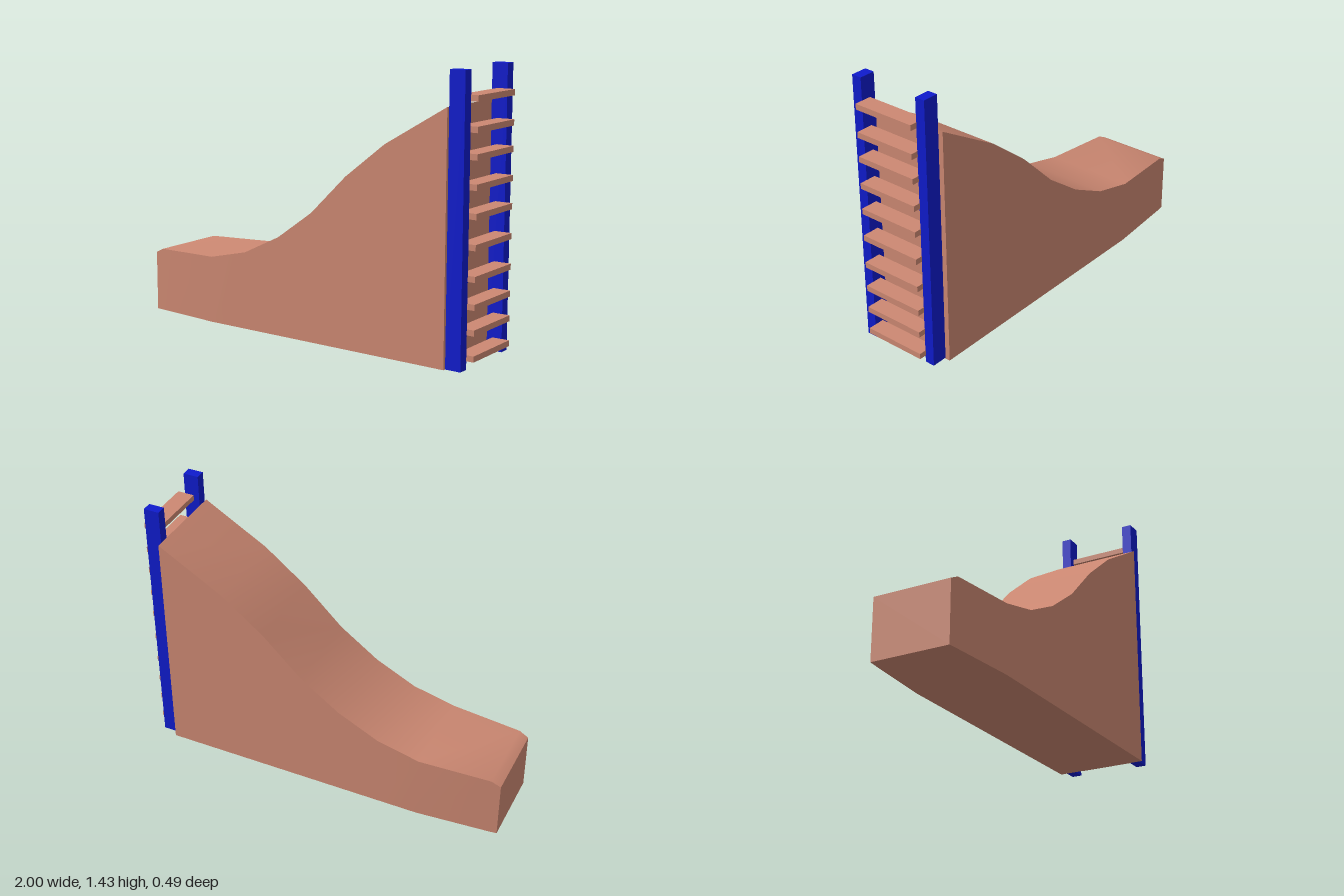
import * as THREE from 'three';
import { toCreasedNormals } from 'three/addons/utils/BufferGeometryUtils.js';

const clay = new THREE.MeshStandardMaterial({ color: 0xcc8872 });
const blue = new THREE.MeshStandardMaterial({ color: 0x0f1bcc });

function box(name, material, [x0, x1], [y0, y1], [z0, z1]) {
  const mesh = new THREE.Mesh(new THREE.BoxGeometry(x1 - x0, y1 - y0, z1 - z0), material);
  mesh.position.set((x0 + x1) / 2, (y0 + y1) / 2, (z0 + z1) / 2);
  mesh.name = name;
  return mesh;
}

// Solid slide body: rectangular sections along x, each [x, top height, half width]
function slideGeometry() {
  const stations = [
    [-1, 0.32, 0.208], [-0.95, 0.345, 0.213], [-0.57, 0.357, 0.244],
    [-0.34, 0.412, 0.244], [-0.12, 0.52, 0.244], [0.09, 0.67, 0.244],
    [0.3, 0.875, 0.244], [0.53, 1.055, 0.244], [0.876, 1.257, 0.244],
  ];
  const positions = [], index = [];
  for (const [x, y, w] of stations) {
    positions.push(x, 0, w, x, y, w, x, y, -w, x, 0, -w);
  }
  const quad = (a, b, c, d) => index.push(a, b, c, a, c, d);
  const last = (stations.length - 1) * 4;
  for (let s = 0; s < last; s += 4) {
    for (let k = 0; k < 4; k++) {
      const n = (k + 1) % 4;
      quad(s + k, s + 4 + k, s + 4 + n, s + n);
    }
  }
  quad(0, 1, 2, 3); // low end
  quad(last + 3, last + 2, last + 1, last); // ladder end
  const geometry = new THREE.BufferGeometry();
  geometry.setAttribute('position', new THREE.Float32BufferAttribute(positions, 3));
  geometry.setIndex(index);
  return toCreasedNormals(geometry, Math.PI / 7);
}

export function createModel() {
  const model = new THREE.Group();
  model.name = 'playgroundSlide';

  const slide = new THREE.Mesh(slideGeometry(), clay);
  slide.name = 'slideBody';
  model.add(slide);

  // Ladder: two posts and ten flat rungs
  const ladder = new THREE.Group();
  ladder.name = 'ladder';
  ladder.add(box('leftPost', blue, [0.876, 0.96], [0.005, 1.435], [-0.217, -0.164]));
  ladder.add(box('rightPost', blue, [0.876, 0.96], [0, 1.43], [0.174, 0.228]));
  const rungHeights = [0.058, 0.185, 0.31, 0.445, 0.597, 0.745, 0.883, 1.025, 1.153, 1.298];
  for (const y of rungHeights) {
    ladder.add(box('rung', clay, [0.908, 1], [y - 0.015, y + 0.015], [-0.166, 0.175]));
  }
  model.add(ladder);
  return model;
}
